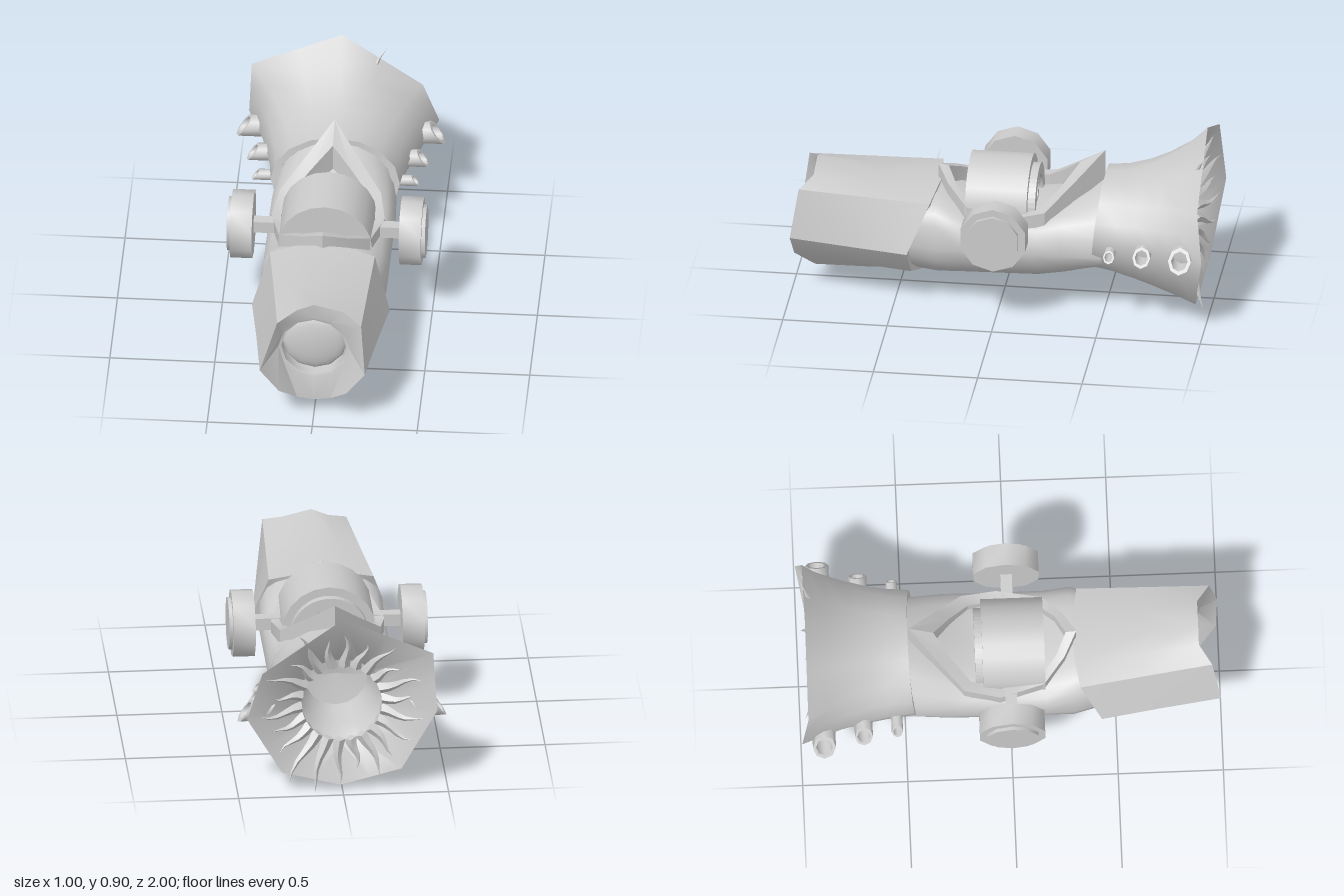
import * as THREE from 'three';
import { toCreasedNormals } from 'three/addons/utils/BufferGeometryUtils.js';

const mat = new THREE.MeshStandardMaterial({ color: 0xcccccc, side: THREE.DoubleSide });

// Skin a list of equal-length closed rings of [x, y, z], with mirrored diagonals
function loft(rings, crease) {
  const n = rings[0].length, idx = [];
  for (let r = 0; r < rings.length - 1; r++) {
    for (let i = 0; i < n; i++) {
      const a = r * n + i, a1 = r * n + (i + 1) % n, b = a + n, b1 = a1 + n;
      if (i < n / 2) idx.push(a, b, b1, a, b1, a1);
      else idx.push(a, b, a1, a1, b, b1);
    }
  }
  const g = new THREE.BufferGeometry();
  g.setAttribute('position', new THREE.Float32BufferAttribute(rings.flat(2), 3));
  g.setIndex(idx);
  return toCreasedNormals(g, crease);
}

// Complete a half outline (top to bottom) by mirroring it; lean shifts the upper corners sideways
const mirrored = (half, lean = 0) => [
  ...half.map(([x, y, z]) => [-x, y, z]),
  ...half.slice(1, -1).reverse(),
].map(([x, y, z]) => [x && y > .5 ? x + lean : x, y, z]);

// Round ring, counted from the top
function ring(n, rx, ry, cy, z, topPower = 1) {
  return Array.from({ length: n }, (_, i) => {
    const a = (i / n) * Math.PI * 2, s = Math.sin(a), c = Math.cos(a);
    const p = c > 0 ? topPower : 1;
    return [-rx * Math.sign(s) * Math.abs(s) ** p, cy + ry * Math.sign(c) * Math.abs(c) ** p, z];
  });
}

export function createModel() {
  const model = new THREE.Group();
  const add = (name, geometry, parent = model) => {
    const m = new THREE.Mesh(geometry, mat);
    m.name = name;
    parent.add(m);
    return m;
  };

  // Angular muzzle with a sunken round opening
  const back = mirrored([[0, .55, .3], [.13, .55, .31], [.25, .52, .33], [.328, .285, .43],
    [.235, .155, .42], [.08, .1, .38], [0, .09, .38]]);
  add('muzzle', loft([
    ring(12, .155, .155, .374, .82),
    ring(12, .155, .155, .374, .89),
    ring(12, .168, .168, .374, .895),
    mirrored([[0, .622, .9], [.11, .588, .9], [.2, .55, .96], [.25, .3, 1],
      [.16, .18, .99], [.08, .088, .9], [0, .07, .89]], .03),
    mirrored([[0, .555, .63], [.12, .55, .63], [.225, .535, .64], [.288, .29, .7],
      [.2, .165, .7], [.08, .09, .65], [0, .085, .65]], .015),
    back,
    back.map(([x, y, z]) => [x * .75, .33 + (y - .33) * .75, z]),
  ], .65));

  // Domed lens
  const lens = add('lens', new THREE.SphereGeometry(.155, 12, 6, 0, Math.PI * 2, 0, Math.PI / 2));
  lens.rotation.x = Math.PI / 2;
  lens.scale.y = .3;
  lens.position.set(0, .374, .83);

  // Middle tube: z, half width, bottom, top, roundness of the upper half
  add('bodyTube', loft([
    [.45, .26, .11, .51, .6], [.3, .3, .1, .54, .6], [.17, .3, .105, .46, .6],
    [-.18, .3, .115, .46, .6], [-.3, .3, .14, .51, .7], [-.5, .29, .195, .6, 1],
  ].map(([z, w, lo, hi, power]) => ring(20, w, 1, 0, z, power).map(([x, y]) =>
    [x + .004, .31 + y * (y > 0 ? hi - .31 : .31 - lo), z])), 1));

  // Flared tail: round at the start, growing into an uneven eight-sided rim, then a funnel and cavity
  const corners = [[0, .89, -.97], [-.43, .7, -.97], [-.445, .41, -1], [-.28, .095, -.95],
    [.01, .012, -.93], [.29, .095, -.95], [.46, .4, -1], [.385, .62, -.97]];
  const rim = corners.flatMap((p, i) => {
    const q = corners[(i + 1) % corners.length];
    return [p, p.map((v, k) => (v + q[k]) / 2)];
  });
  const start = ring(16, .308, .233, .397, 0).map(([x, y]) => [x + .004, y, -.46 - (y - .4) * .1]);
  const flare = [0, .2, .4, .6, .8, 1].map((t) => start.map((p, i) => {
    const power = 1.2 + .8 * (p[1] - .164) / .466;
    return p.map((v, k) => v + (rim[i][k] - v) * (k === 2 ? t : t ** power));
  }));
  add('flaredTail', loft([
    start.map(([x, y, z]) => [x * .88, .4 + (y - .4) * .88, z]),
    ...flare,
    ring(16, .22, .22, .42, -.87),
    ring(16, .19, .19, .42, -.72),
    ring(16, .15, .15, .4, -.53),
    ring(16, .001, .001, .4, -.5),
  ], 1));

  // Wavy spikes lying on the funnel around the cavity, a few reaching past the rim
  const spikes = new THREE.Group();
  spikes.name = 'rimSpikes';
  model.add(spikes);
  const count = 22;
  for (let i = 0; i < count; i++) {
    const a = .51 + ((i - 1) / count) * Math.PI * 2;
    const len = [1, 8, 9].includes(i) ? .26 : .18 + .035 * Math.sin(i * 2.7);
    const g = new THREE.ConeGeometry(.03, len, 4, 5);
    g.translate(0, len / 2 + .19, 0);
    const p = g.attributes.position;
    for (let v = 0; v < p.count; v++) {
      const t = (p.getY(v) - .19) / len;
      p.setX(v, p.getX(v) + .022 * Math.sin(t * 5 + i) * t);
    }
    g.rotateZ(-a);
    for (let v = 0; v < p.count; v++) {
      const r = Math.hypot(p.getX(v), p.getY(v));
      const slope = .25 + .25 * Math.abs(p.getX(v)) / r;
      p.setZ(v, Math.max(-1, p.getZ(v) - .885 - (r - .2) * slope));
    }
    g.translate(0, .42, 0);
    add('rimSpike', toCreasedNormals(g, .6), spikes);
  }

  // Diamond collar around the hood, raised to a point at the back
  const outerTop = [[0, .62, .32], [.11, .57, .26], [.22, .505, .16], [.27, .475, -.05],
    [.24, .505, -.22], [.12, .62, -.35], [0, .74, -.48]];
  const innerTop = [[0, .61, .27], [.1, .56, .22], [.19, .5, .13], [.225, .47, -.05],
    [.19, .5, -.19], [.1, .58, -.28], [0, .67, -.36]];
  const lower = [.1, .11, .12, .12, .12, .13, .16];
  const drop = (pts) => pts.map(([x, y, z], i) => [x, y - lower[i], z]);
  add('collar', loft([drop(innerTop), innerTop, outerTop, drop(outerTop)].map((h) => mirrored(h)), .5));

  // Rounded hood with an open arch and spokes behind it
  const hood = add('hood', new THREE.CylinderGeometry(.225, .225, .295, 20));
  hood.rotation.x = Math.PI / 2;
  hood.position.set(0, .453, .018);
  const arch = new THREE.Shape();
  arch.absarc(0, 0, .185, 0, Math.PI);
  arch.absarc(0, 0, .13, Math.PI, 0, true);
  const archMesh = add('hoodArch', new THREE.ExtrudeGeometry(arch, { depth: .05, bevelEnabled: false, curveSegments: 12 }));
  archMesh.position.set(0, .45, -.165);
  for (const s of [-1, 1]) {
    const spoke = add('hoodSpoke', new THREE.BoxGeometry(.03, .15, .03));
    spoke.position.set(s * .05, .52, -.14);
    spoke.rotation.z = -s * .5;
  }

  // Side wheels with axles, and exhaust pipes on the tail
  for (const s of [-1, 1]) {
    const wheel = new THREE.Group();
    wheel.name = s > 0 ? 'leftWheel' : 'rightWheel';
    wheel.position.set(0, .45, 0);
    model.add(wheel);
    for (const [name, r, x, w] of [['wheelRim', .163, .403, .105], ['wheelCap', .128, .42, .105]]) {
      const g = new THREE.CylinderGeometry(r, r, w, 10);
      g.rotateY(Math.PI / 10);
      g.rotateZ(Math.PI / 2);
      add(name, toCreasedNormals(g, .7), wheel).position.x = s * x;
    }
    add('axle', new THREE.BoxGeometry(.16, .06, .055), wheel).position.x = s * .29;

    // Pipe mouths are cut at a slant, the lower lip reaching further out
    for (const [z, y, r, x, h] of [[-.895, .4, .055, .405, .055], [-.705, .38, .043, .35, .055], [-.545, .36, .027, .33, .05]]) {
      const profile = [[r, -h], [r, h], [r * .72, h], [r * .72, -h]].map(([a, b]) => new THREE.Vector2(a, b));
      const g = new THREE.LatheGeometry(profile, 8);
      g.rotateZ(-s * Math.PI / 2);
      const p = g.attributes.position;
      for (let v = 0; v < p.count; v++) p.setX(v, p.getX(v) - s * .7 * p.getY(v));
      add('exhaustPipe', toCreasedNormals(g, .9)).position.set(s * x, y, z);
    }
  }
  return model;
}
